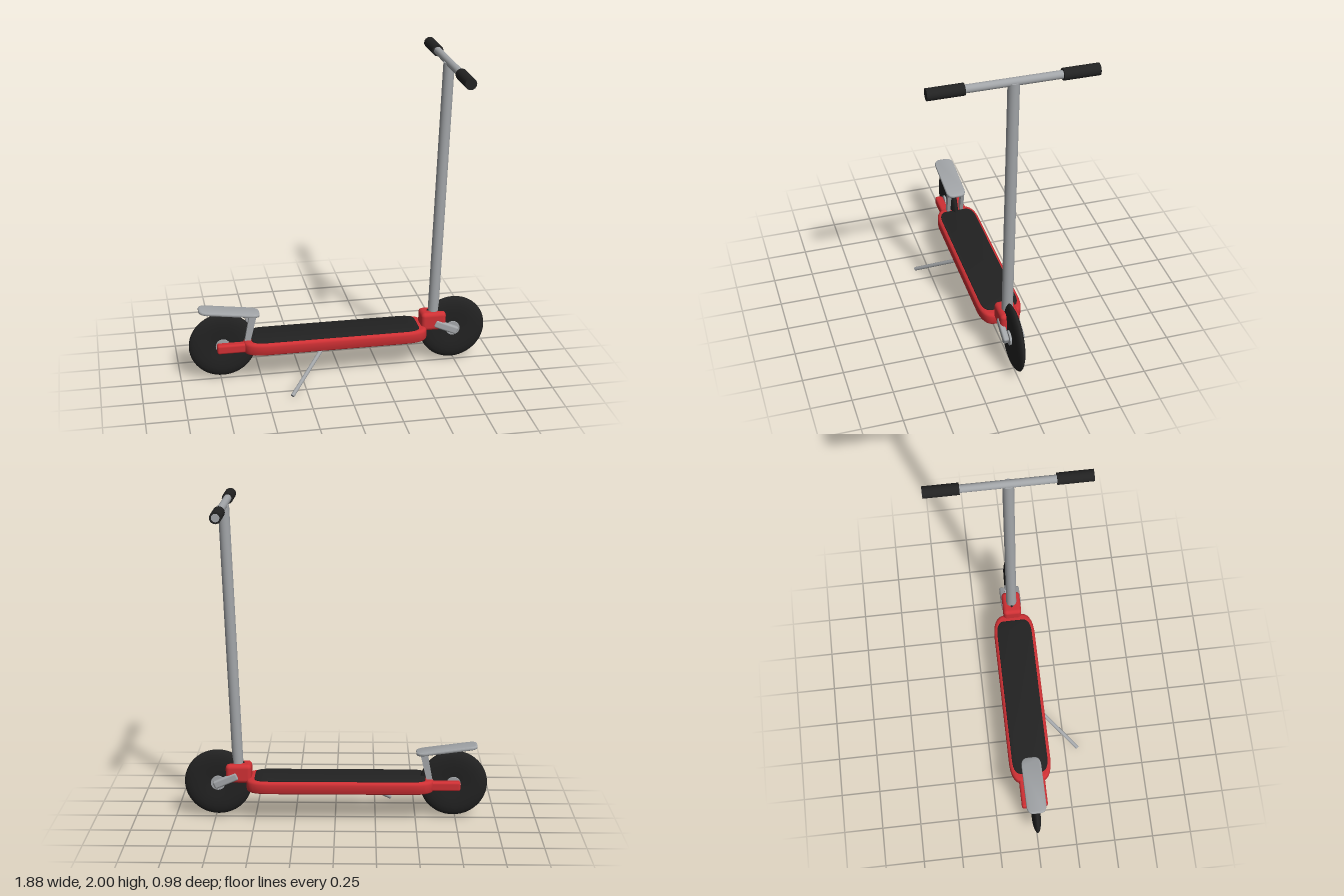
import * as THREE from 'three';
import { toCreasedNormals } from 'three/addons/utils/BufferGeometryUtils.js';
import { RoundedBoxGeometry } from 'three/addons/geometries/RoundedBoxGeometry.js';

const flat = (name, color) => {
  const m = new THREE.MeshStandardMaterial({ color });
  m.name = name;
  return m;
};

export function createModel() {
  const root = new THREE.Group();
  root.name = 'kickScooter';
  const red = flat('redPaint', 0xcf3034);
  const grey = flat('greyMetal', 0xa2a5a8);
  const black = flat('blackRubber', 0x222222);

  const add = (name, geometry, material, x = 0, y = 0, z = 0, parent = root) => {
    const mesh = new THREE.Mesh(geometry, material);
    mesh.name = name;
    mesh.position.set(x, y, z);
    parent.add(mesh);
    return mesh;
  };

  // Round rod between two points
  const rod = (name, a, b, radius, material, parent = root) => {
    const p = new THREE.Vector3(...a), q = new THREE.Vector3(...b);
    const dir = q.clone().sub(p);
    const mesh = add(name, new THREE.CylinderGeometry(radius, radius, dir.length(), 24), material, 0, 0, 0, parent);
    mesh.position.copy(p).add(q).multiplyScalar(0.5);
    mesh.quaternion.setFromUnitVectors(new THREE.Vector3(0, 1, 0), dir.normalize());
    return mesh;
  };

  // Horizontal slab with softened corners and edges, bottom at y = 0
  const slab = (length, width, height, rx, rz, bevel) => {
    const a = length / 2 - bevel, b = width / 2 - bevel;
    const s = new THREE.Shape();
    s.moveTo(-a + rx, -b);
    s.lineTo(a - rx, -b);
    s.bezierCurveTo(a - rx * 0.35, -b, a, -b + rz * 0.35, a, -b + rz);
    s.lineTo(a, b - rz);
    s.bezierCurveTo(a, b - rz * 0.35, a - rx * 0.35, b, a - rx, b);
    s.lineTo(-a + rx, b);
    s.bezierCurveTo(-a + rx * 0.35, b, -a, b - rz * 0.35, -a, b - rz);
    s.lineTo(-a, -b + rz);
    s.bezierCurveTo(-a, -b + rz * 0.35, -a + rx * 0.35, -b, -a + rx, -b);
    const g = new THREE.ExtrudeGeometry(s, {
      depth: height - 2 * bevel, bevelEnabled: true, bevelThickness: bevel,
      bevelSize: bevel, bevelSegments: 4, curveSegments: 10,
    });
    g.translate(0, 0, bevel).rotateX(-Math.PI / 2);
    return toCreasedNormals(g, 0.6);
  };

  // Deck and grip pad
  add('deck', slab(1.16, 0.27, 0.08, 0.13, 0.06, 0.02), red, -0.03, 0.19, 0);
  add('deckPad', slab(1.06, 0.23, 0.012, 0.09, 0.05, 0.003), black, -0.03, 0.264, 0);

  // Wheels: solid tyre with a narrow tread, and a hub
  const tyreProfile = [
    [0.035, -0.019], [0.06, -0.022], [0.11, -0.026], [0.155, -0.025], [0.185, -0.018], [0.203, -0.009], [0.21, 0],
    [0.203, 0.009], [0.185, 0.018], [0.155, 0.025], [0.11, 0.026], [0.06, 0.022], [0.035, 0.019],
  ].map(([r, y]) => new THREE.Vector2(r, y));
  for (const [name, x] of [['rearWheel', -0.735], ['frontWheel', 0.73]]) {
    const wheel = new THREE.Group();
    wheel.name = name;
    wheel.position.set(x, 0.23, 0);
    wheel.rotation.x = Math.PI / 2;
    root.add(wheel);
    add('tyre', new THREE.LatheGeometry(tyreProfile, 48), black, 0, 0, 0, wheel);
    add('hub', new THREE.CylinderGeometry(0.045, 0.045, 0.064, 28), grey, 0, 0, 0, wheel);
    add('axle', new THREE.CylinderGeometry(0.02, 0.02, 0.12, 16), grey, 0, 0, 0, wheel);
  }

  // Paired rear arms, fender struts and front fork legs
  const strutShape = new THREE.Shape([[-0.605, 0.25], [-0.57, 0.25], [-0.525, 0.43], [-0.57, 0.435]]
    .map(([x, y]) => new THREE.Vector2(x, y)));
  for (const side of [-1, 1]) {
    const prefix = side > 0 ? 'near' : 'far';
    add(prefix + 'RearArm', new RoundedBoxGeometry(0.24, 0.06, 0.052, 3, 0.014), red, -0.655, 0.23, side * 0.058);
    const strut = new THREE.ExtrudeGeometry(strutShape, { depth: 0.022, bevelEnabled: false });
    add(prefix + 'FenderStrut', strut, grey, 0, 0, side * 0.044 - 0.011);
    const leg = add(prefix + 'ForkLeg', new RoundedBoxGeometry(0.16, 0.05, 0.036, 3, 0.012), grey, 0.68, 0.253, side * 0.049);
    leg.rotation.z = -0.41;
  }

  // Rear fender, tilted up towards the back
  const fender = add('rearFender', slab(0.38, 0.126, 0.02, 0.05, 0.035, 0.007), grey, -0.692, 0.44, 0);
  fender.rotation.z = -0.133;

  // Steering column
  add('neckBlock', new RoundedBoxGeometry(0.16, 0.12, 0.12, 4, 0.025), red, 0.6, 0.295, 0);
  rod('steeringTube', [0.604, 0.3, 0], [0.664, 1.965, 0], 0.034, grey);

  // Handlebar and grips
  rod('handlebar', [0.665, 1.965, -0.488], [0.665, 1.965, 0.47], 0.024, grey);
  for (const side of [-1, 1]) {
    rod(side > 0 ? 'nearGrip' : 'farGrip', [0.665, 1.965, side * 0.276], [0.665, 1.965, side * 0.487], 0.035, black);
  }

  // Kickstand
  rod('kickstand', [-0.12, 0.205, 0.1], [-0.35, 0.01, 0.335], 0.012, grey);

  return root;
}
